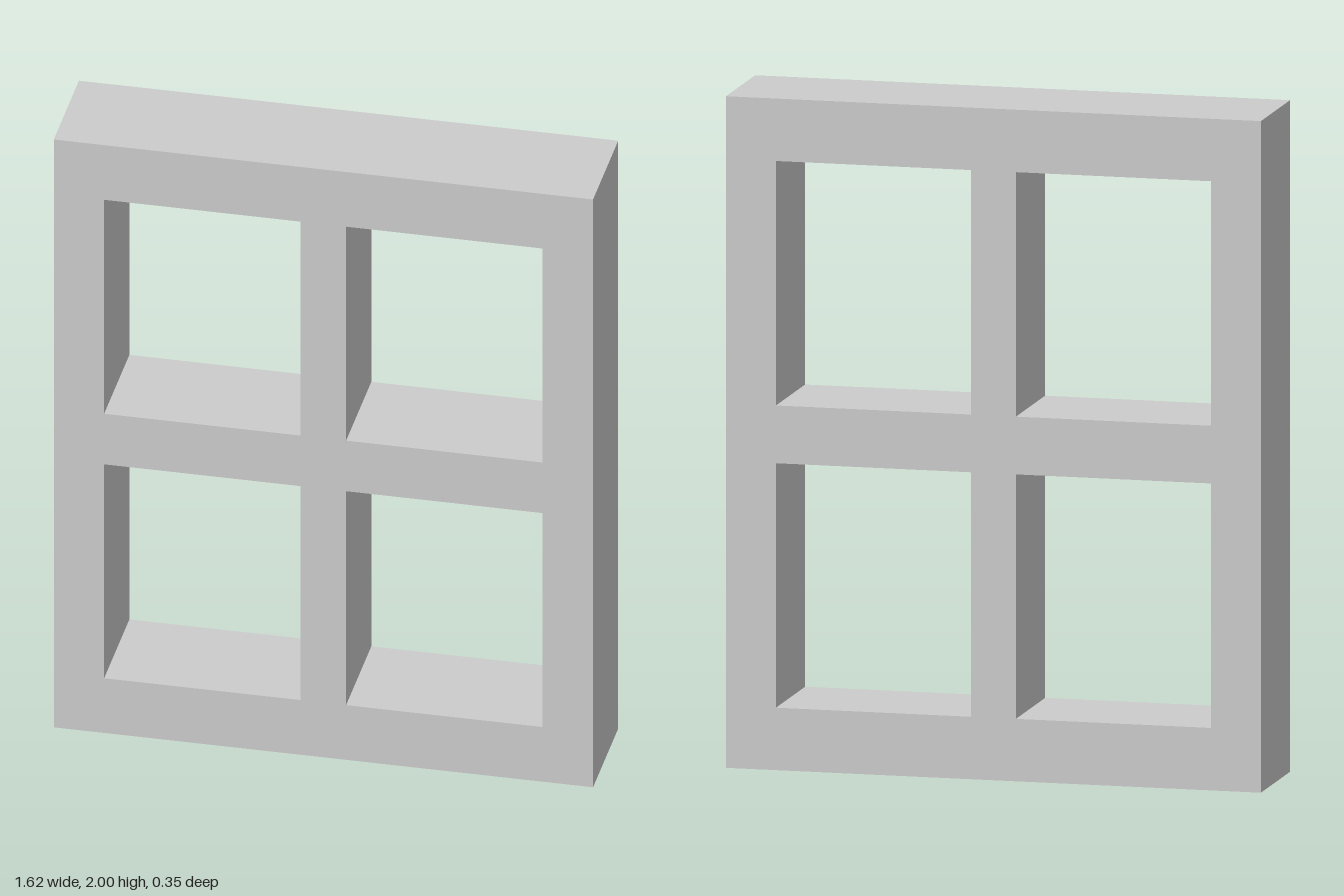
import * as THREE from 'three';

const HALF_W = 0.808, HEIGHT = 2, DEPTH = 0.346;
const PANE = { inner: 0.068, outer: 0.657, low: 0.086, high: 0.814 }; // opening, measured from the window centre

// Rectangle outline added to a shape or path
function rect(path, x0, y0, x1, y1) {
  path.moveTo(x0, y0);
  path.lineTo(x1, y0);
  path.lineTo(x1, y1);
  path.lineTo(x0, y1);
  path.closePath();
  return path;
}

export function createModel() {
  const group = new THREE.Group();
  group.name = 'window';

  // Outer frame with four mirrored pane openings
  const outline = rect(new THREE.Shape(), -HALF_W, 0, HALF_W, HEIGHT);
  const mid = HEIGHT / 2;
  for (const sx of [-1, 1]) {
    for (const sy of [-1, 1]) {
      outline.holes.push(rect(new THREE.Path(),
        sx * PANE.inner, mid + sy * PANE.low, sx * PANE.outer, mid + sy * PANE.high));
    }
  }

  const geometry = new THREE.ExtrudeGeometry(outline, { depth: DEPTH, bevelEnabled: false });
  geometry.translate(0, 0, -DEPTH / 2);
  const frame = new THREE.Mesh(geometry, new THREE.MeshStandardMaterial({ color: 0xcccccc, flatShading: true }));
  frame.name = 'windowFrame';
  group.add(frame);
  return group;
}
